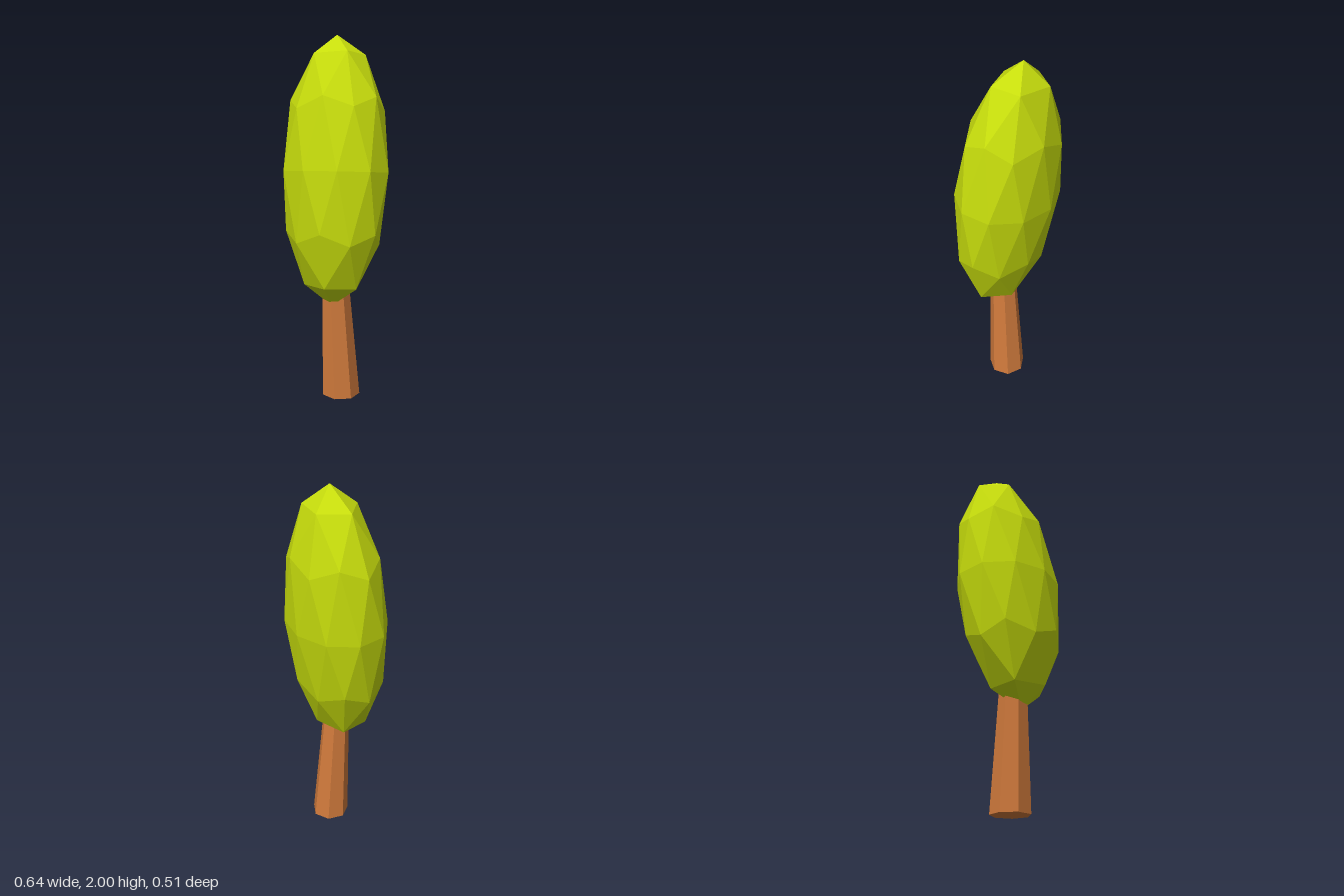
import * as THREE from 'three';

const rad = THREE.MathUtils.degToRad;

function part(name, geometry, color) {
  const mesh = new THREE.Mesh(geometry, new THREE.MeshStandardMaterial({ color, flatShading: true }));
  mesh.name = name;
  return mesh;
}

export function createModel() {
  const tree = new THREE.Group();
  tree.name = 'tree';

  // Foliage: low-poly sphere with a corner on top, stretched to an egg and leaned slightly
  const crown = new THREE.IcosahedronGeometry(1, 1);
  crown.rotateX(-Math.atan((1 + Math.sqrt(5)) / 2));
  crown.rotateY(rad(-14));
  crown.scale(0.33, 0.738, 0.255);
  const foliage = part('foliage', crown, 0xc6dc0c);
  foliage.position.set(0, 1.264, 0);
  foliage.rotation.set(-0.082, 0, 0.054);
  tree.add(foliage);

  // Trunk: seven-sided taper, sheared so its foot stays flat on the ground
  const height = 0.7;
  const stem = new THREE.CylinderGeometry(0.074, 0.107, height, 7);
  stem.rotateY(Math.PI);
  stem.translate(0, height / 2, 0);
  const p = stem.attributes.position;
  for (let i = 0; i < p.count; i++) {
    const y = p.getY(i);
    p.setX(i, p.getX(i) + 0.035 - 0.018 * y);
    p.setZ(i, p.getZ(i) - 0.016 + 0.05 * y);
  }
  stem.computeVertexNormals();
  tree.add(part('trunk', stem, 0xd07a3c));

  return tree;
}
